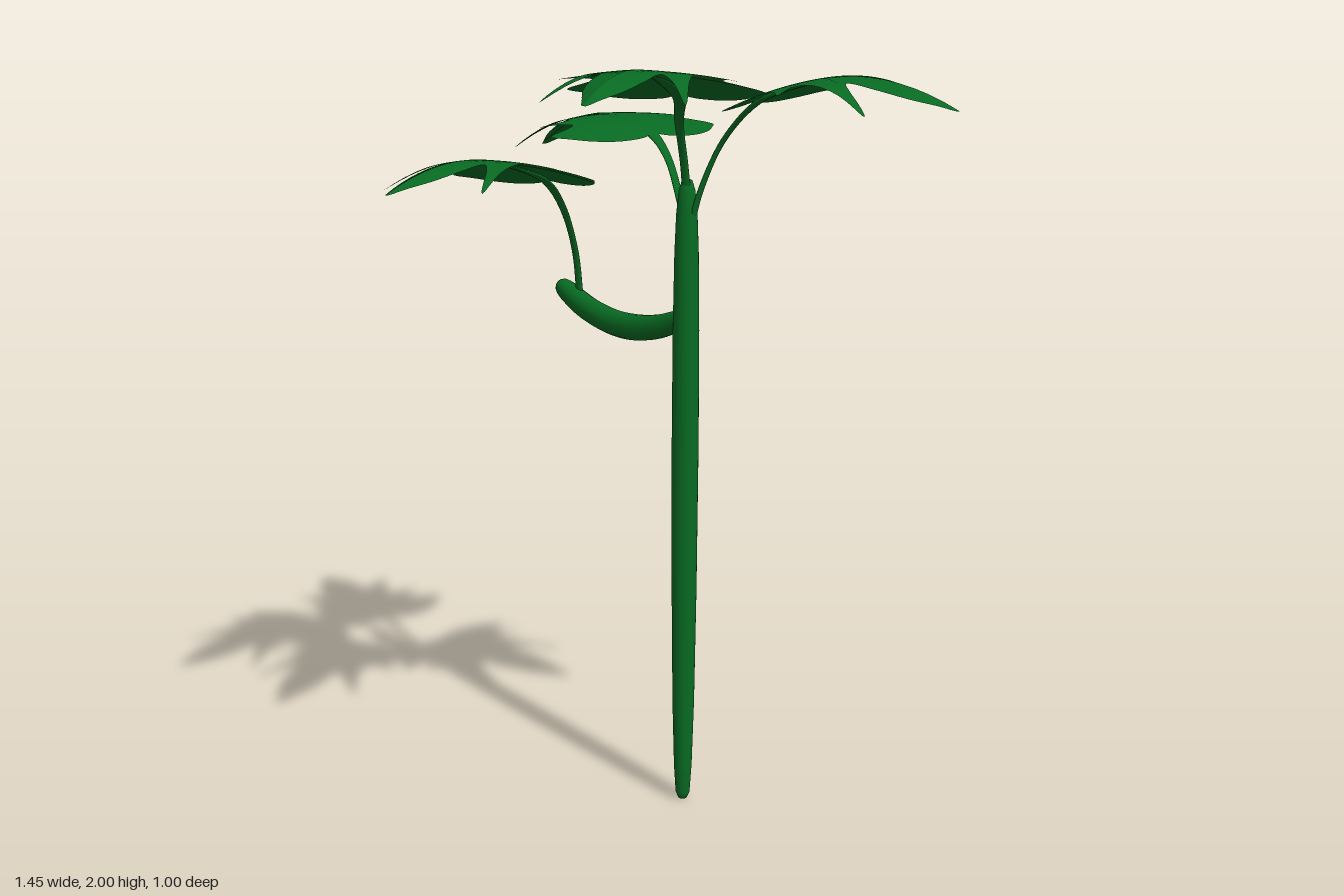
import * as THREE from 'three';

const green = new THREE.MeshStandardMaterial({ color: 0x086a22, side: THREE.DoubleSide });
const V = (p) => new THREE.Vector3(...p);

function addMesh(parent, geometry, name) {
  const mesh = new THREE.Mesh(geometry, green);
  mesh.name = name;
  parent.add(mesh);
}

// Grid of vertices (rows x cols) joined into a smooth surface
function gridGeometry(rows, cols, pointAt) {
  const pos = [], index = [];
  for (let i = 0; i < rows; i++)
    for (let j = 0; j < cols; j++) pos.push(...pointAt(i, j).toArray());
  for (let i = 0; i < rows - 1; i++)
    for (let j = 0; j < cols; j++) {
      const k = (j + 1) % cols, a = i * cols + j, b = i * cols + k;
      index.push(a, a + cols, b, b, a + cols, b + cols);
    }
  const g = new THREE.BufferGeometry();
  g.setAttribute('position', new THREE.Float32BufferAttribute(pos, 3));
  g.setIndex(index);
  g.computeVertexNormals();
  return g;
}

// Values spaced evenly over 0..1, joined by straight ramps
const ramp = (list) => (t) => {
  const f = t * (list.length - 1), i = Math.min(Math.floor(f), list.length - 2);
  return THREE.MathUtils.lerp(list[i], list[i + 1], f - i);
};

// Sweep an ellipse along a curve; width runs along `side`, height across it
function sweep(points, side, width, height, steps = 28, sides = 14) {
  const curve = new THREE.CatmullRomCurve3(points.map(V));
  return gridGeometry(steps + 1, sides, (i, j) => {
    const t = i / steps, a = -(j / sides) * Math.PI * 2;
    const across = new THREE.Vector3().crossVectors(curve.getTangentAt(t), side).normalize();
    return curve.getPointAt(t)
      .addScaledVector(side, Math.cos(a) * width(t))
      .addScaledVector(across, Math.sin(a) * height(t));
  });
}

// Half of the lobed leaf outline: distance along the midrib, distance out
const LENGTH = 0.547;
const half = [
  [0.547, 0], [0.5, 0.025], [0.435, 0.052], [0.36, 0.068], [0.292, 0.076], [0.322, 0.115], [0.398, 0.179],
  [0.29, 0.145], [0.205, 0.13], [0.188, 0.155], [0.195, 0.226], [0.158, 0.182], [0.13, 0.165],
  [0.115, 0.195], [0.095, 0.252], [0.053, 0.222], [0.014, 0.178], [-0.012, 0.115], [-0.014, 0.045],
];
const mirrored = half.slice(1).reverse().map(([u, v]) => [u, -v]);
const outline = new THREE.CatmullRomCurve3(
  [...half, [0, 0], ...mirrored].map(([u, v]) => new THREE.Vector3(u, v, 0)), true, 'centripetal'
);
const RIM = half.length * 2 * 5;
const rim = Array.from({ length: RIM }, (_, i) => outline.getPoint(i / RIM));

// One leaf with its flattened stalk
function makeLeaf({ name, base, tip, roll = 0, stalk }) {
  const group = new THREE.Group();
  group.name = name;
  const origin = V(base);
  const axis = new THREE.Vector3(tip[0] - base[0], 0, tip[2] - base[2]);
  const stretch = axis.length() / LENGTH;
  axis.normalize();
  const side = new THREE.Vector3(axis.z, 0, -axis.x);
  // The blade arches along its midrib, droops at its sides and folds towards the tip
  const place = (u, v) => {
    const x = u / LENGTH;
    const fold = 0.38 * THREE.MathUtils.smoothstep(x, 0.3, 1) * Math.abs(v);
    const p = origin.clone().addScaledVector(axis, u * stretch).addScaledVector(side, v);
    p.y += (tip[1] - base[1]) * x + 0.28 * x * (1 - x) - 0.4 * v * v + roll * v - fold;
    return p;
  };
  const rings = 10, centre = 0.155;
  addMesh(group, gridGeometry(rings + 1, RIM, (i, j) => {
    const s = i / rings;
    return place(centre + (rim[j].x - centre) * s, rim[j].y * s);
  }), 'leafBlade');
  // The stalk runs on under the blade as a fading midrib
  const rib = [0, 0.08, 0.2].map((u) => place(u, 0).toArray()).map(([x, y, z]) => [x, y - 0.005, z]);
  addMesh(group, sweep([...stalk, ...rib], side,
    ramp([0.012, 0.011, 0.011, 0.014, 0.02, 0.018, 0.002]),
    ramp([0.006, 0.006, 0.005, 0.005, 0.006, 0.005, 0.001])), 'leafStalk');
  return group;
}

export function createModel() {
  const model = new THREE.Group();
  model.name = 'plant';

  // Trunk, slightly swollen in the middle with rounded ends
  const profile = [
    [0, 0], [0.012, 0.003], [0.019, 0.02], [0.024, 0.1], [0.029, 0.28], [0.033, 0.6], [0.035, 1],
    [0.034, 1.3], [0.031, 1.5], [0.027, 1.6], [0.021, 1.66], [0.013, 1.685], [0, 1.69],
  ].map(([r, y]) => new THREE.Vector2(r, y));
  const trunk = new THREE.LatheGeometry(profile, 20);
  trunk.translate(0.017, 0, -0.177);
  addMesh(model, trunk, 'trunk');

  // Sagging side branch with a rounded end
  const cap = (t) => Math.sqrt(Math.max(0, 1 - t ** 36));
  const branchWidth = ramp([0.021, 0.026, 0.029, 0.03, 0.029, 0.026]);
  const branchHeight = ramp([0.026, 0.032, 0.035, 0.035, 0.033, 0.027]);
  addMesh(model, sweep(
    [[0.01, 1.33, -0.177], [-0.1, 1.29, -0.173], [-0.23, 1.275, -0.17], [-0.36, 1.295, -0.17], [-0.49, 1.347, -0.17]],
    new THREE.Vector3(0, 0, 1), (t) => branchWidth(t) * cap(t), (t) => branchHeight(t) * cap(t), 80), 'sideBranch');

  // Three crown leaves and one leaf standing on the branch
  const leaves = [
    { name: 'leftLeaf', base: [0.2, 1.892, -0.235], tip: [0.725, 1.905, -0.373],
      stalk: [[0.03, 1.57, -0.18], [0.055, 1.66, -0.187], [0.112, 1.79, -0.21]] },
    { name: 'rightLeaf', base: [-0.18, 1.775, -0.24], tip: [-0.725, 1.688, -0.307],
      stalk: [[0.01, 1.57, -0.18], [-0.02, 1.63, -0.187], [-0.085, 1.718, -0.208]] },
    { name: 'frontLeaf', base: [0.115, 1.912, -0.06], tip: [0.352, 1.945, 0.432], roll: 0.03,
      stalk: [[0.018, 1.62, -0.177], [0.028, 1.72, -0.158], [0.055, 1.835, -0.115]] },
    { name: 'branchLeaf', base: [-0.395, 1.648, -0.057], tip: [-0.328, 1.675, 0.494], roll: 0.08,
      stalk: [[-0.405, 1.31, -0.175], [-0.405, 1.45, -0.158], [-0.402, 1.57, -0.115]] },
  ];
  for (const leaf of leaves) model.add(makeLeaf(leaf));
  return model;
}
